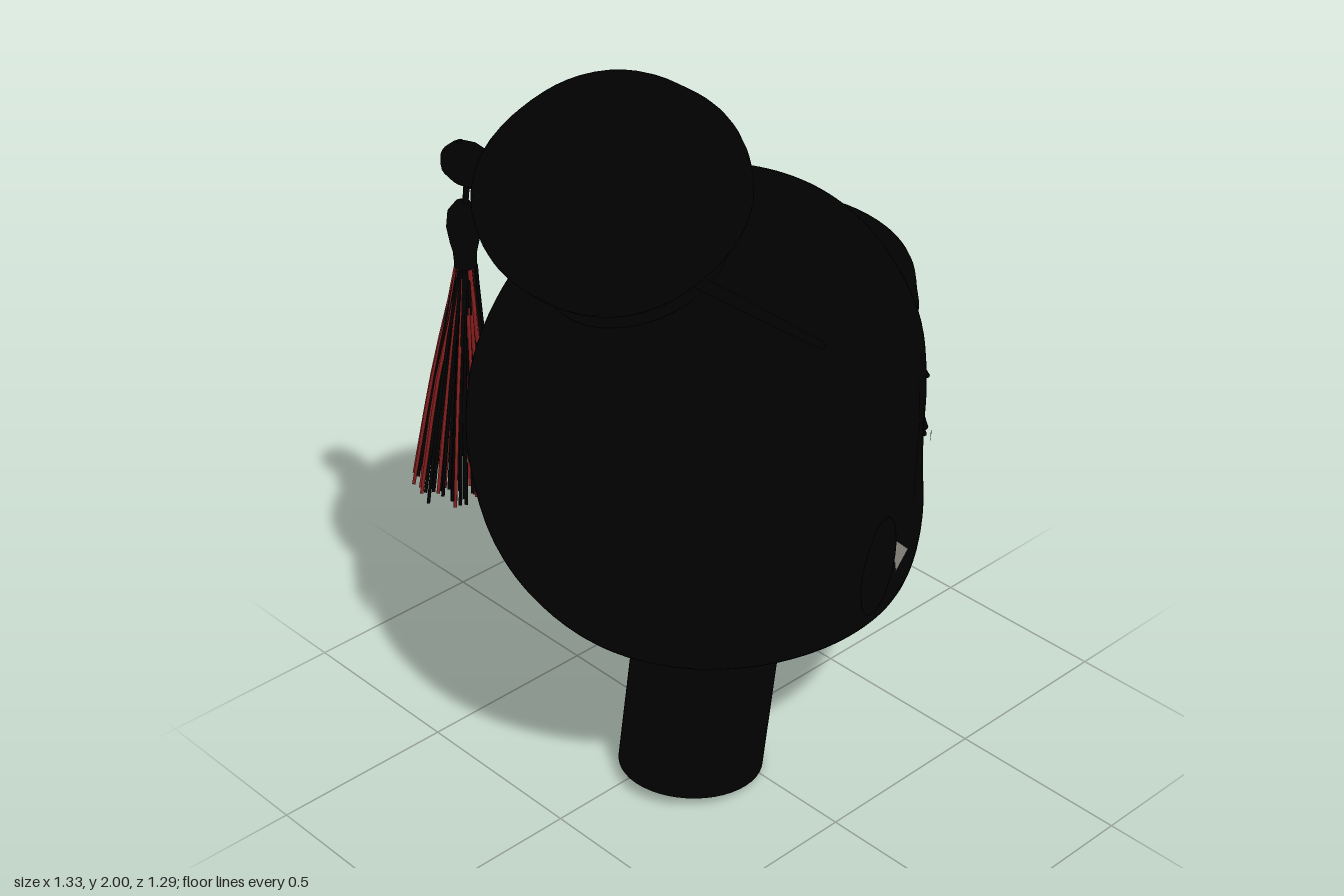
import * as THREE from 'three';

const black = new THREE.MeshStandardMaterial({ color: 0x010101, side: THREE.DoubleSide });
black.name = 'black';
const red = new THREE.MeshStandardMaterial({ color: 0x8a1f1f });
red.name = 'dark red';
const grey = new THREE.MeshStandardMaterial({ color: 0x8c8780, side: THREE.DoubleSide });
grey.name = 'warm grey';

const ZC = 0.06; // middle plane of the face
const bell = (d, s) => Math.exp(-(d / s) * (d / s));

// Smooth tube of rings; point(v, t) gives each vertex
function rings(point, nv, nt) {
  const pos = [], idx = [];
  for (let i = 0; i <= nv; i++) {
    for (let j = 0; j < nt; j++) pos.push(...point(i / nv, (j / nt) * Math.PI * 2));
  }
  for (let i = 0; i < nv; i++) {
    for (let j = 0; j < nt; j++) {
      const a = i * nt + j, c = i * nt + ((j + 1) % nt), b = a + nt, d = c + nt;
      idx.push(a, b, c, b, d, c);
    }
  }
  const g = new THREE.BufferGeometry();
  g.setAttribute('position', new THREE.Float32BufferAttribute(pos, 3));
  g.setIndex(idx);
  g.computeVertexNormals();
  return g;
}

// Loft of oval sections, each row: height, back x, front x, half width
function loft(rows, nv, nt, shape = (p) => p) {
  const ends = new THREE.CatmullRomCurve3(rows.map((r) => new THREE.Vector3(r[1], r[0], r[2])));
  const half = new THREE.CatmullRomCurve3(rows.map((r) => new THREE.Vector3(0, r[0], r[3])));
  return rings((v, t) => {
    const e = ends.getPoint(v), w = Math.max(half.getPoint(v).z, 0);
    const mid = (e.x + e.z) / 2, r = (e.z - e.x) / 2;
    return shape([mid + r * Math.cos(t), e.y, ZC + w * Math.sin(t)], Math.cos(t));
  }, nv, nt);
}

const headRows = [
  [0.287, 0.44, 0.47, 0.01], [0.295, 0.34, 0.5, 0.07], [0.33, 0.15, 0.53, 0.15],
  [0.38, -0.05, 0.54, 0.24], [0.45, -0.23, 0.555, 0.32], [0.55, -0.42, 0.57, 0.41],
  [0.7, -0.55, 0.575, 0.47], [0.85, -0.625, 0.56, 0.495], [1.0, -0.658, 0.55, 0.512],
  [1.1, -0.665, 0.55, 0.518], [1.25, -0.64, 0.53, 0.505], [1.4, -0.555, 0.455, 0.455],
  [1.5, -0.46, 0.38, 0.385], [1.58, -0.32, 0.285, 0.29], [1.63, -0.17, 0.17, 0.18],
  [1.652, -0.01, 0.01, 0.005],
];

// Face surface x at a given height and sideways offset
function faceX(y, dz) {
  const i = Math.max(1, headRows.findIndex((r) => r[0] >= y));
  const a = headRows[i - 1], b = headRows[i], k = (y - a[0]) / (b[0] - a[0]);
  const [back, front, w] = [1, 2, 3].map((n) => a[n] + (b[n] - a[n]) * k);
  return (back + front) / 2 + ((front - back) / 2) * Math.sqrt(Math.max(0, 1 - (dz / w) ** 2));
}

export function createModel() {
  const model = new THREE.Group();
  const add = (name, geo, mat = black, parent = model) => {
    const m = new THREE.Mesh(geo, mat);
    m.name = name;
    parent.add(m);
    return m;
  };
  const tube = (pts, r, n = 16, s = 6) =>
    new THREE.TubeGeometry(new THREE.CatmullRomCurve3(pts.map((p) => new THREE.Vector3(...p))), n, r, s);

  // Head with nose, lips, shallow eye sockets and a slight step at the hairline
  add('head', loft(headRows, 90, 120, ([x, y, z], c) => {
    if (c > 0) {
      const dz = z - ZC - 0.014;
      const step = THREE.MathUtils.smoothstep(x, 0.24, 0.29) * bell(y - 1.15, 0.4);
      x += 0.092 * bell(y - 0.72, y > 0.72 ? 0.13 : 0.05) * bell(dz, 0.075);
      x += 0.034 * bell(y - 0.58, 0.085) * bell(dz, 0.12);
      x -= 0.01 * bell(y - 0.95, 0.06) * bell(Math.abs(dz) - 0.2, 0.09);
      z = ZC + (z - ZC) * (1 - 0.03 * step);
    }
    return [x, y, z];
  }));

  // Open neck, leaning forward, with a slanted lower rim
  const neckPoint = (v, t) => {
    const c = Math.cos(t), s = Math.sin(t);
    const y = THREE.MathUtils.lerp(0.024 - 0.024 * c, 0.56, v);
    return [-0.11 + 0.16 * y + 0.2 * c, y, 0.072 + 0.183 * s];
  };
  add('neck', rings(neckPoint, 12, 48));
  const inside = add('neckInside', new THREE.CircleGeometry(1, 40), grey);
  inside.scale.set(0.192, 0.175, 1);
  inside.rotation.set(Math.PI / 2, -0.12, 0);
  inside.position.set(-0.105, 0.045, 0.072);

  // Fringe
  add('fringe', loft([
    [1.2, 0.42, 0.5, 0.02], [1.19, 0.36, 0.585, 0.2], [1.27, 0.34, 0.58, 0.207],
    [1.34, 0.32, 0.558, 0.21], [1.4, 0.3, 0.52, 0.195], [1.44, 0.28, 0.47, 0.15], [1.462, 0.3, 0.42, 0.03],
  ], 30, 40));

  // Brows and eyelids on both sides
  for (const s of [1, -1]) {
    const line = (name, r, pts) => add(name, tube(
      pts.map(([dz, y]) => [faceX(y, dz) - 0.006, y, ZC + s * dz]), r));
    line('brow', 0.007, [[0.1, 1.04], [0.2, 1.08], [0.33, 1.12]]);
    line('upperLid', 0.009, [[0.1, 0.93], [0.2, 0.97], [0.33, 0.97]]);
    line('lowerLid', 0.006, [[0.1, 0.92], [0.2, 0.92], [0.33, 0.95]]);
  }

  // Ears: the left one stands out, the right one lies against the head
  const ear = (x, z, size, turn) => {
    const m = add('ear', new THREE.SphereGeometry(1, 24, 18));
    m.scale.set(...size);
    m.position.set(x, 0.79, z);
    m.rotation.set(...turn);
  };
  ear(0.065, 0.555, [0.085, 0.145, 0.035], [0.2, 0.64, 0]);
  ear(0.07, -0.41, [0.085, 0.14, 0.035], [-0.12, -0.15, 0]);

  // Small pale facets at the eye corner and in front of the ear
  const facet = (name, p) => {
    const g = new THREE.BufferGeometry();
    g.setAttribute('position', new THREE.Float32BufferAttribute(p, 3));
    g.computeVertexNormals();
    add(name, g, grey);
  };
  const ex = faceX(0.94, 0.325) + 0.016;
  facet('eyeWhite', [ex - 0.014, 0.952, 0.398, ex - 0.014, 0.926, 0.398, ex + 0.014, 0.94, 0.378]);
  facet('earHollow', [0.12, 0.845, 0.548, 0.14, 0.735, 0.545, 0.18, 0.785, 0.547]);

  // Hair bun, slightly boxy with a shallow parting on top, and its band
  const bun = add('bun', new THREE.SphereGeometry(1, 48, 32));
  const bp = bun.geometry.attributes.position;
  const v = new THREE.Vector3();
  for (let i = 0; i < bp.count; i++) {
    v.fromBufferAttribute(bp, i);
    const sum = [v.x, v.y, v.z].reduce((t, n) => t + Math.abs(n) ** 2.3, 0);
    v.multiplyScalar(sum ** (-1 / 2.3));
    if (v.y > 0) v.y *= 1 - 0.05 * bell(v.z - 0.08, 0.2) * v.y;
    bp.setXYZ(i, v.x, v.y, v.z);
  }
  bun.geometry.computeVertexNormals();
  bun.scale.set(0.302, 0.22, 0.315);
  bun.position.set(-0.343, 1.768, 0.072);
  bun.rotation.z = 0.33;
  const band = add('bunBand', new THREE.TorusGeometry(0.195, 0.034, 12, 48));
  band.rotation.set(Math.PI / 2, 0.38, 0);
  band.position.set(-0.275, 1.59, 0.07);

  // Hairpin: a tapering rod with a rounded knob
  const profile = [
    [0, 0], [0.009, 0.01], [0.014, 0.25], [0.017, 0.6], [0.02, 0.9], [0.027, 0.98],
    [0.036, 1.04], [0.05, 1.1], [0.055, 1.15], [0.047, 1.19], [0.024, 1.217], [0, 1.222],
  ].map(([x, y]) => new THREE.Vector2(x, y));
  const pin = add('hairpin', new THREE.LatheGeometry(profile, 20));
  pin.position.set(-0.265, 1.582, 0.675);
  pin.quaternion.setFromUnitVectors(new THREE.Vector3(0, 1, 0),
    new THREE.Vector3(-0.065, 0.065, -1.22).normalize());

  // Tassel: hook, bead, cap and strands
  const tassel = new THREE.Group();
  tassel.name = 'tassel';
  tassel.position.set(-0.33, 0, -0.49);
  model.add(tassel);
  add('hook', tube([[0, 1.7, 0], [0, 1.62, 0.02], [0, 1.56, 0.015], [0, 1.5, 0]], 0.008), black, tassel);
  add('bead', new THREE.LatheGeometry([
    [0.026, 1.33], [0.03, 1.4], [0.036, 1.425], [0.043, 1.47], [0.038, 1.51], [0.018, 1.535], [0, 1.538],
  ].map(([x, y]) => new THREE.Vector2(x, y)), 20), black, tassel);

  let seed = 7;
  const rnd = () => (seed = (seed * 16807) % 2147483647) / 2147483647;
  for (let i = 0; i < 110; i++) {
    const a = i * 2.39996, ca = Math.cos(a), sa = Math.sin(a);
    const spread = (0.05 + 0.07 * rnd()) * (1 - 0.38 * ca);
    const end = 0.75 + 0.03 * rnd(), r0 = 0.026 * Math.sqrt(rnd());
    const stray = i === 40 ? 0.09 : 0;
    add('strand', tube([
      [r0 * ca, 1.36, r0 * sa],
      [0.58 * spread * ca - 0.008, 1.08, 0.58 * spread * sa],
      [spread * ca - 0.015, end, spread * sa - stray],
    ], 0.0058, 6, 4), rnd() < 0.45 ? red : black, tassel);
  }
  return model;
}
